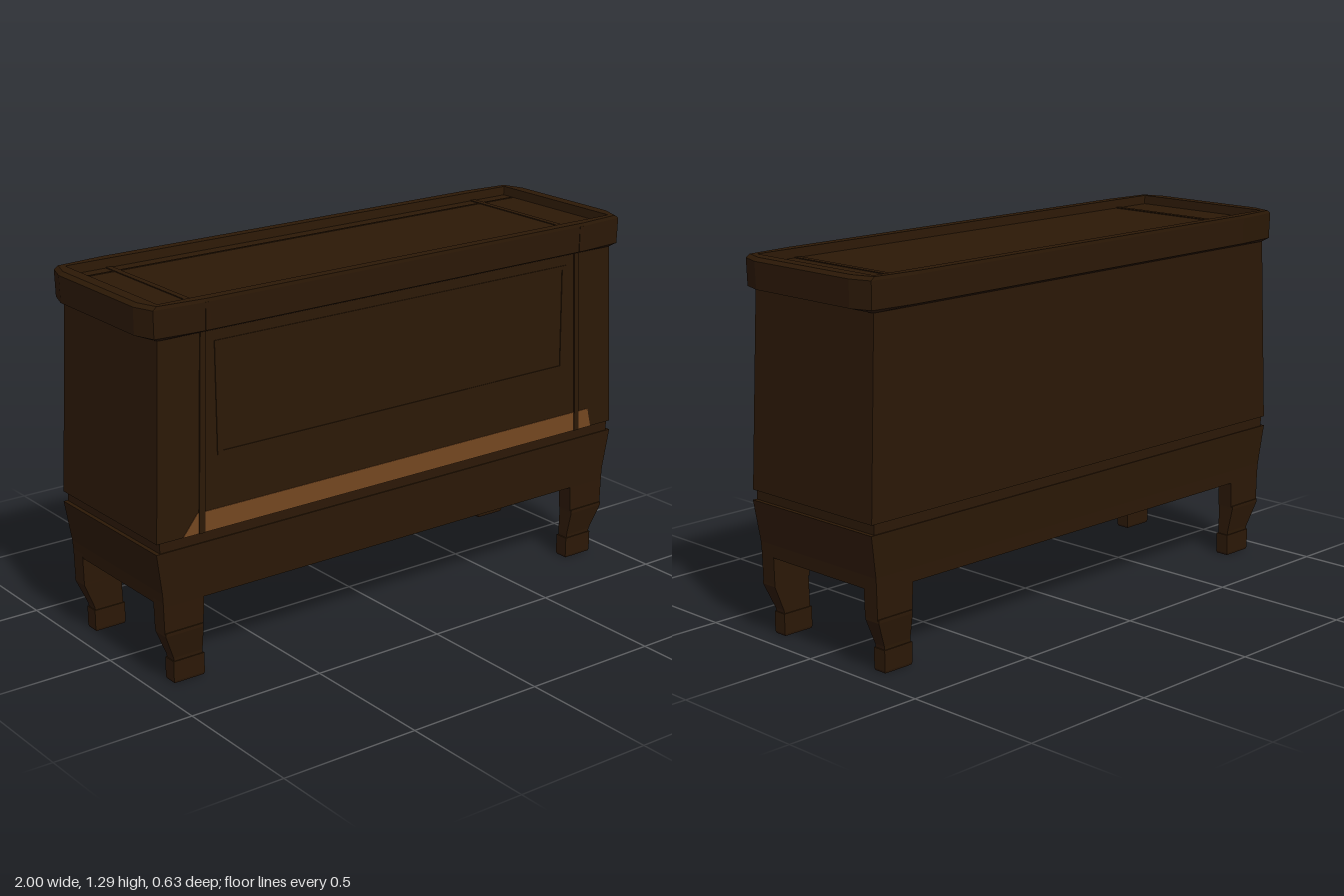
import * as THREE from 'three';

const wood = new THREE.MeshStandardMaterial({ color: 0x2b1806 });
const light = new THREE.MeshStandardMaterial({ color: 0x734620 });

function add(parent, name, geometry, material = wood) {
  const mesh = new THREE.Mesh(geometry, material);
  mesh.name = name;
  parent.add(mesh);
  return mesh;
}

// Faceted solid through a stack of rings with equal point counts, capped at both ends
function loft(rings) {
  const pos = [];
  const tri = (...pts) => pts.forEach((p) => pos.push(...p));
  const n = rings[0].length;
  const centre = (ring) => [0, 1, 2].map((k) => ring.reduce((s, p) => s + p[k], 0) / n);
  const bottom = centre(rings[0]);
  const top = centre(rings.at(-1));
  for (let i = 0; i < n; i++) {
    const j = (i + 1) % n;
    for (let r = 0; r < rings.length - 1; r++) {
      const [a, b, c, d] = [rings[r][i], rings[r][j], rings[r + 1][j], rings[r + 1][i]];
      tri(a, b, c, a, c, d);
    }
    tri(bottom, rings[0][j], rings[0][i]);
    tri(top, rings.at(-1)[i], rings.at(-1)[j]);
  }
  const g = new THREE.BufferGeometry();
  g.setAttribute('position', new THREE.Float32BufferAttribute(pos, 3));
  g.computeVertexNormals();
  return g;
}

const rect = (y, x0, x1, z0, z1) => [[x1, y, z1], [x1, y, z0], [x0, y, z0], [x0, y, z1]];
const centred = (y, x, z) => rect(y, -x, x, -z, z);

// Lid outline: cut corners and faintly tapering long sides
function lidRing(y, hx, hz, cut = 1) {
  const quarter = [[hx - 0.2 * cut, hz], [hx - 0.025 * cut, hz - 0.015 * cut], [hx, hz - 0.09 * cut]];
  const back = quarter.map(([x, z]) => [x, -z]).reverse();
  const right = [...quarter, ...back];
  const left = right.map(([x, z]) => [-x, -z]);
  return [...right, ...left].map(([x, z]) => [x, y, z]);
}

// Thin flat piece cut from an outline
function slab(points, depth, hole) {
  const shape = new THREE.Shape(points.map((p) => new THREE.Vector2(...p)));
  if (hole) shape.holes.push(new THREE.Path(hole.map((p) => new THREE.Vector2(...p))));
  return new THREE.ExtrudeGeometry(shape, { depth, bevelEnabled: false });
}

const box = (x0, x1, y0, y1) => [[x0, y0], [x1, y0], [x1, y1], [x0, y1]];

export function createModel() {
  const model = new THREE.Group();
  model.name = 'cabinet';

  // Base, recessed waist and tapering body
  add(model, 'base', loft([
    centred(0.283, 0.96, 0.285), centred(0.33, 0.963, 0.286), centred(0.475, 0.985, 0.293),
  ]));
  add(model, 'waist', loft([centred(0.47, 0.97, 0.289), centred(0.515, 0.97, 0.289)]));
  add(model, 'body', loft([centred(0.51, 0.983, 0.293), centred(1.19, 0.952, 0.285)]));

  // Lid with a sloping underside and a sunken top inside a raised rim
  add(model, 'lid', loft([
    lidRing(1.176, 0.955, 0.287, 0.1), lidRing(1.188, 0.998, 0.315), lidRing(1.28, 1, 0.317),
    lidRing(1.291, 0.985, 0.315), lidRing(1.291, 0.945, 0.28, 0.05), lidRing(1.26, 0.94, 0.276, 0.05),
  ]));

  // Seams in the sunken top
  const seams = new THREE.Group();
  seams.name = 'topSeams';
  model.add(seams);
  for (const s of [-1, 1]) {
    add(seams, 'crossSeam', new THREE.BoxGeometry(0.022, 0.006, 0.55)).position.set(s * 0.785, 1.26, 0);
  }
  add(seams, 'longSeam', new THREE.BoxGeometry(1.87, 0.004, 0.008)).position.set(0, 1.26, -0.225);

  // Front details lie on the slightly leaning front face
  const front = new THREE.Group();
  front.name = 'frontDetails';
  front.position.set(0, 0.51, 0.291);
  front.rotation.x = -0.0118;
  model.add(front);
  add(front, 'panelFrame', slab(box(-0.745, 0.745, 0.25, 0.63), 0.005, box(-0.725, 0.725, 0.262, 0.615)));
  add(front, 'ledge', slab([[-0.885, 0], [0.885, 0], [0.868, 0.07], [-0.828, 0.07]], 0.004), light);
  for (const s of [-1, 1]) {
    const post = [[0.803, 0], [0.825, 0], [0.798, 0.672], [0.778, 0.672]].map(([x, y]) => [x * s, y]);
    add(front, 'postSeam', slab(post, 0.007));
    // Seam carried up over the lid edge
    add(model, 'lidSeam', new THREE.BoxGeometry(0.018, 0.09, 0.006)).position.set(s * 0.785, 1.235, 0.315);
  }

  // Four legs: straight block, flared knee and square foot
  for (const sx of [-1, 1]) {
    for (const sz of [-1, 1]) {
      const leg = new THREE.Group();
      leg.name = (sz > 0 ? 'front' : 'back') + (sx > 0 ? 'Left' : 'Right') + 'Leg';
      model.add(leg);
      const ring = (y, xi, xo, zi, zo) => rect(y,
        Math.min(sx * xi, sx * xo), Math.max(sx * xi, sx * xo),
        Math.min(sz * zi, sz * zo), Math.max(sz * zi, sz * zo));
      add(leg, 'legBlock', loft([ring(0.188, 0.81, 0.958, 0.225, 0.285), ring(0.3, 0.804, 0.961, 0.224, 0.285)]));
      add(leg, 'knee', loft([
        ring(0.07, 0.808, 0.917, 0.228, 0.271), ring(0.09, 0.808, 0.92, 0.228, 0.272),
        ring(0.18, 0.812, 0.957, 0.226, 0.289), ring(0.192, 0.812, 0.957, 0.226, 0.289),
      ]));
      add(leg, 'foot', loft([
        ring(0, 0.806, 0.919, 0.226, 0.273), ring(0.008, 0.803, 0.922, 0.224, 0.275),
        ring(0.078, 0.803, 0.922, 0.224, 0.275),
      ]));
    }
  }
  return model;
}
